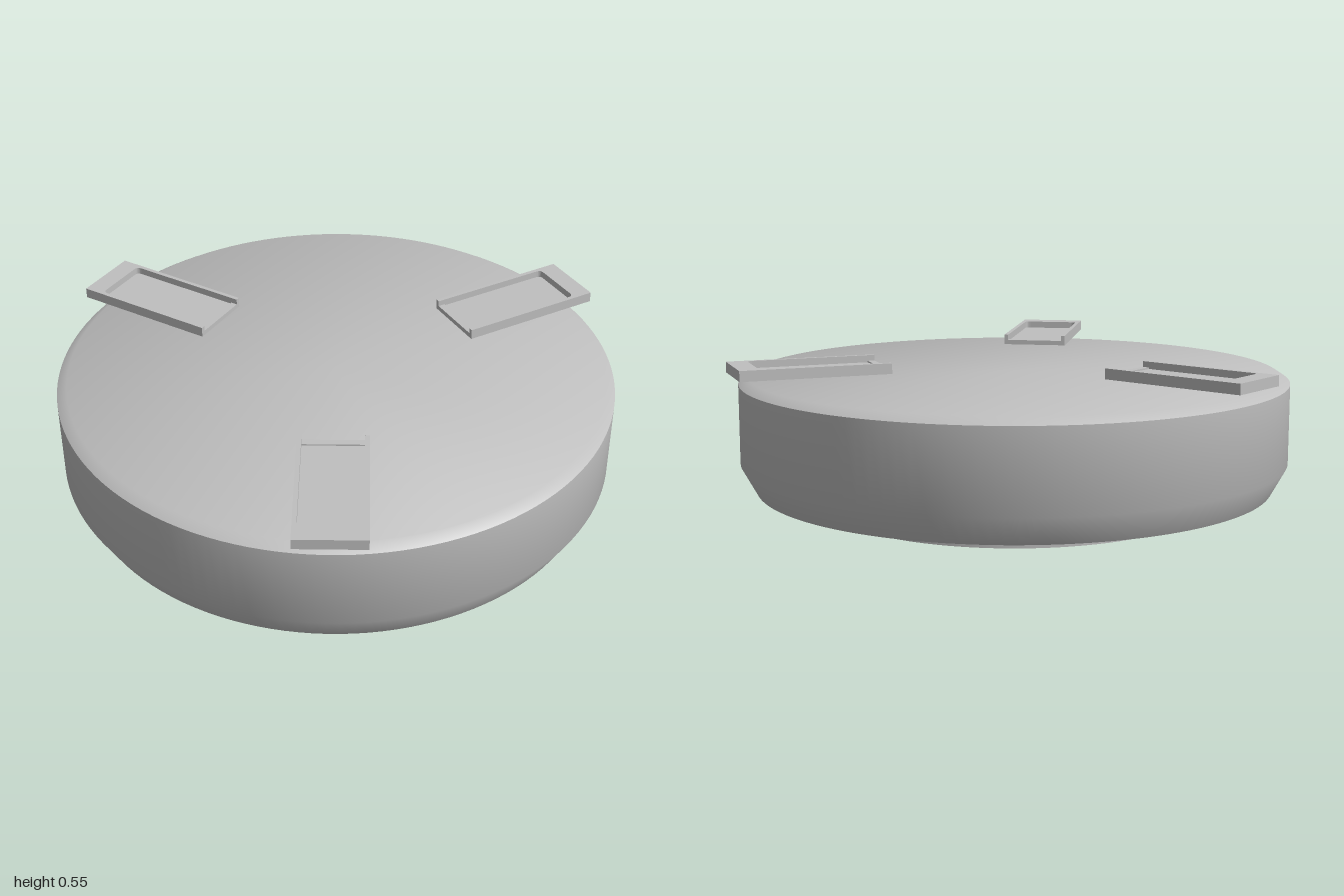
import * as THREE from 'three';
import { toCreasedNormals } from 'three/addons/utils/BufferGeometryUtils.js';

const grey = new THREE.MeshStandardMaterial({ color: 0xbfbfbf });
grey.name = 'light grey';

function part(name, geometry) {
  const mesh = new THREE.Mesh(geometry, grey);
  mesh.name = name;
  return mesh;
}

// Solid of revolution with crisp rims and a soft lower shoulder
function turned(name, profile) {
  const points = profile.map(([r, y]) => new THREE.Vector2(r, y));
  return part(name, toCreasedNormals(new THREE.LatheGeometry(points, 128), 0.6));
}

// Shallow tray lying along +x, open towards the middle of the disc
function createTray() {
  const inner = 0.49, outer = 1.015, half = 0.119;
  const wall = 0.015, stop = 0.945, round = 0.018;
  const bottom = 0.508, floorTop = 0.52, top = 0.545;
  const tray = new THREE.Group();

  const floor = part('trayFloor', new THREE.BoxGeometry(outer - inner, floorTop - bottom, half * 2));
  floor.position.set((inner + outer) / 2, (bottom + floorTop) / 2, 0);

  // U-shaped rim with rounded inside corners
  const h = half - wall;
  const shape = new THREE.Shape();
  shape.moveTo(inner, -half);
  shape.lineTo(outer, -half);
  shape.lineTo(outer, half);
  shape.lineTo(inner, half);
  shape.lineTo(inner, h);
  shape.lineTo(stop - round, h);
  shape.quadraticCurveTo(stop, h, stop, h - round);
  shape.lineTo(stop, round - h);
  shape.quadraticCurveTo(stop, -h, stop - round, -h);
  shape.lineTo(inner, -h);
  shape.closePath();
  const rimGeometry = new THREE.ExtrudeGeometry(shape, { depth: top - floorTop, bevelEnabled: false, curveSegments: 5 });
  rimGeometry.rotateX(-Math.PI / 2);
  const rim = part('trayRim', rimGeometry);
  rim.position.y = floorTop;

  // Low lip across the open end
  const lip = part('trayLip', new THREE.BoxGeometry(0.025, 0.005, h * 2));
  lip.position.set(inner + 0.0125, floorTop + 0.0025, 0);

  tray.add(floor, rim, lip);
  return tray;
}

export function createModel() {
  const model = new THREE.Group();
  model.name = 'discWithTrays';

  const body = turned('body', [
    [0, 0.055], [0.69, 0.055], [0.927, 0.073], [0.98, 0.17],
    [0.98, 0.455], [0.945, 0.478], [0, 0.478],
  ]);
  const foot = turned('foot', [[0, 0], [0.69, 0], [0.69, 0.057], [0, 0.057]]);
  model.add(body, foot);

  // Three trays spaced evenly around the disc
  for (let i = 0; i < 3; i++) {
    const tray = createTray();
    tray.name = `tray${i + 1}`;
    tray.rotation.y = (i * Math.PI * 2) / 3;
    model.add(tray);
  }

  // Offset so the overall extents are centred
  for (const child of model.children) child.position.x = -0.018;
  return model;
}
